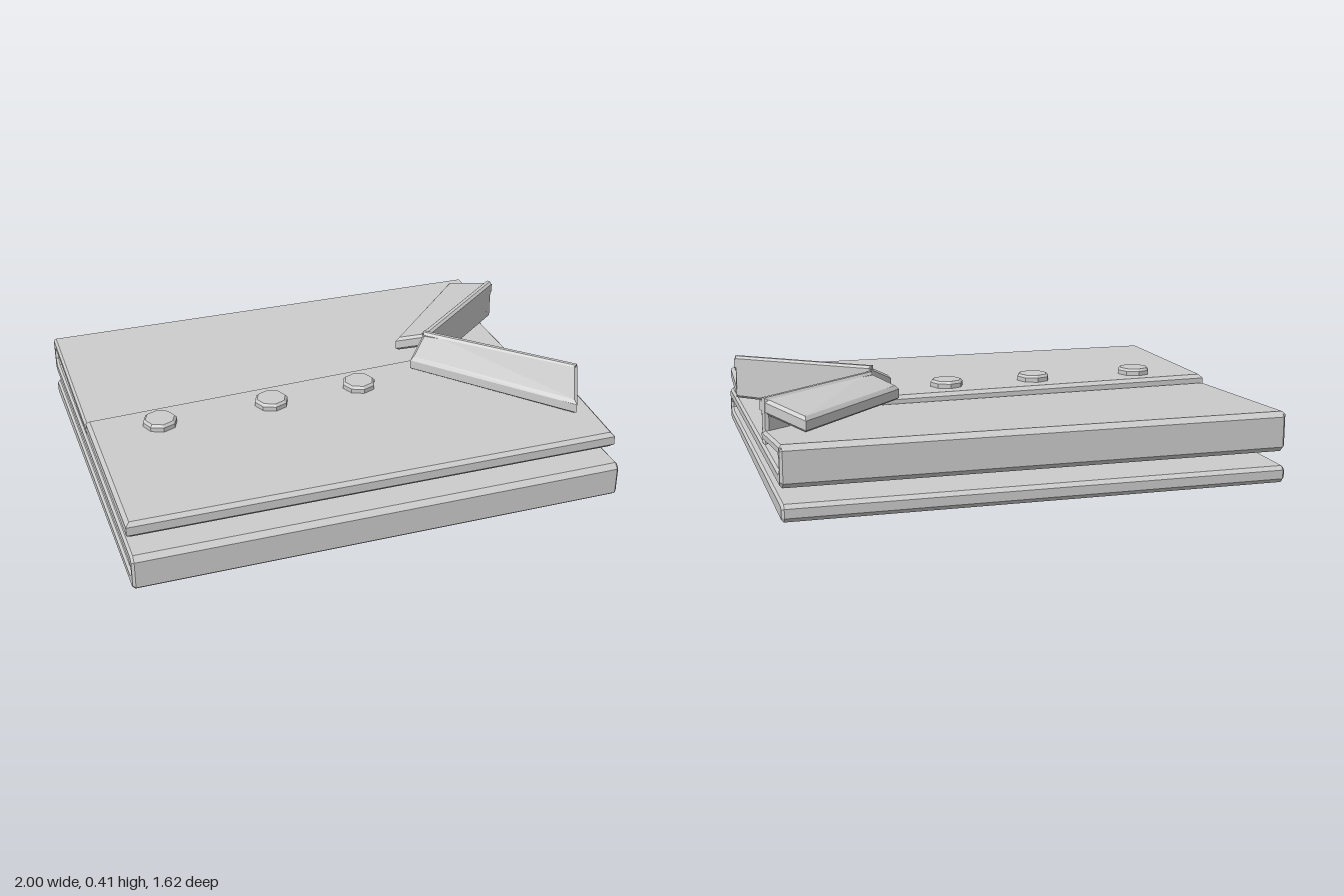
import * as THREE from 'three';
import { ConvexGeometry } from 'three/addons/geometries/ConvexGeometry.js';

const V = (x, y, z) => new THREE.Vector3(x, y, z);

export function createModel() {
  const model = new THREE.Group();
  model.name = 'foldedShirt';
  const material = new THREE.MeshStandardMaterial({ color: 0xcccccc, flatShading: true });
  const add = (name, geometry) => {
    const mesh = new THREE.Mesh(geometry, material);
    mesh.name = name;
    model.add(mesh);
    return mesh;
  };

  // Chamfered convex plate: outline of its upper face, extruded along `depth`
  const plate = (outline, depth, bevel) => {
    const n = outline.length;
    const points = [];
    outline.forEach((p, i) => {
      const a = outline[(i + n - 1) % n].clone().sub(p).normalize();
      const b = outline[(i + 1) % n].clone().sub(p).normalize();
      const k = bevel / a.clone().cross(b).length();
      const inset = p.clone().addScaledVector(a.add(b), k);
      const t = bevel / depth.length();
      points.push(inset, inset.clone().add(depth));
      points.push(p.clone().addScaledVector(depth, t), p.clone().addScaledVector(depth, 1 - t));
    });
    return new ConvexGeometry(points);
  };

  // Cloth folded in an S, as a (z, y) profile swept along x
  const profile = [
    [-0.81, 0.02], [-0.795, 0.003], [0.79, 0.028], [0.81, 0.045], [0.81, 0.155], [0.79, 0.175],
    [-0.74, 0.175], [-0.765, 0.195], [-0.765, 0.225], [-0.74, 0.25], [-0.735, 0.279],
    [-0.78, 0.285], [-0.8, 0.265], [-0.8, 0.145], [-0.78, 0.125],
    [0.75, 0.125], [0.775, 0.11], [0.775, 0.09], [0.75, 0.075], [-0.795, 0.07], [-0.81, 0.055],
  ];
  const body = new THREE.ExtrudeGeometry(
    new THREE.Shape(profile.map(([z, y]) => new THREE.Vector2(z, y))),
    { depth: 1.95, bevelEnabled: true, bevelSegments: 1, bevelSize: 0.01, bevelThickness: 0.01, bevelOffset: -0.01 });
  body.translate(0, 0, -0.975).rotateY(-Math.PI / 2).translate(-0.015, 0, 0);
  add('foldedBody', body);

  // Top layer: two front panels meeting at the placket, with a V neck opening
  const down = V(0, -0.065, 0);
  add('buttonPanel', plate(
    [[-1, 0.75], [0.97, 0.75], [0.99, 0.36], [0.5, -0.1], [-1, -0.025]].map(([x, z]) => V(x, 0.285, z)),
    down, 0.015));
  add('underPanel', plate(
    [[-1, -0.03], [0.51, -0.1], [0.99, -0.48], [0.97, -0.79], [-1, -0.79]]
      .map(([x, z]) => V(x, 0.285 - (z + 0.79) * 0.045, z)),
    V(0, -0.04, 0), 0.01));

  // Collar: each side is an upright stand with a flap folded outwards
  const sides = [
    { name: 'front', tip: V(0.39, 0.35, 0.01), ridge: [V(0.5, 0.415, -0.1), V(0.995, 0.4, 0.36)], end: V(0.885, 0.35, 0.58) },
    { name: 'back', tip: V(0.4, 0.345, -0.185), ridge: [V(0.51, 0.395, -0.09), V(0.995, 0.397, -0.485)], end: V(0.85, 0.345, -0.65) },
  ];
  for (const { name, tip, ridge, end } of sides) {
    add(name + 'CollarFlap', plate([tip, ...ridge, end], V(0, -0.06, 0), 0.012));
    const outward = ridge[1].clone().sub(ridge[0]).setY(0).normalize().cross(V(0, 1, 0));
    if (outward.dot(end.clone().sub(ridge[1])) < 0) outward.negate();
    const foot = ridge.map((p) => V(p.x, 0.22, p.z));
    add(name + 'CollarStand', plate([ridge[0], ridge[1], foot[1], foot[0]], outward.multiplyScalar(0.035), 0.01));
  }

  // Eight-sided buttons beside the placket
  const buttonProfile = [[0, 0], [0.07, 0], [0.07, 0.02], [0.06, 0.03], [0, 0.03]].map(([r, y]) => new THREE.Vector2(r, y));
  [[-0.72, 0.095], [-0.25, 0.08], [0.14, 0.057]].forEach(([x, z], i) => {
    add('button' + (i + 1), new THREE.LatheGeometry(buttonProfile, 8)).position.set(x, 0.283, z);
  });

  return model;
}
